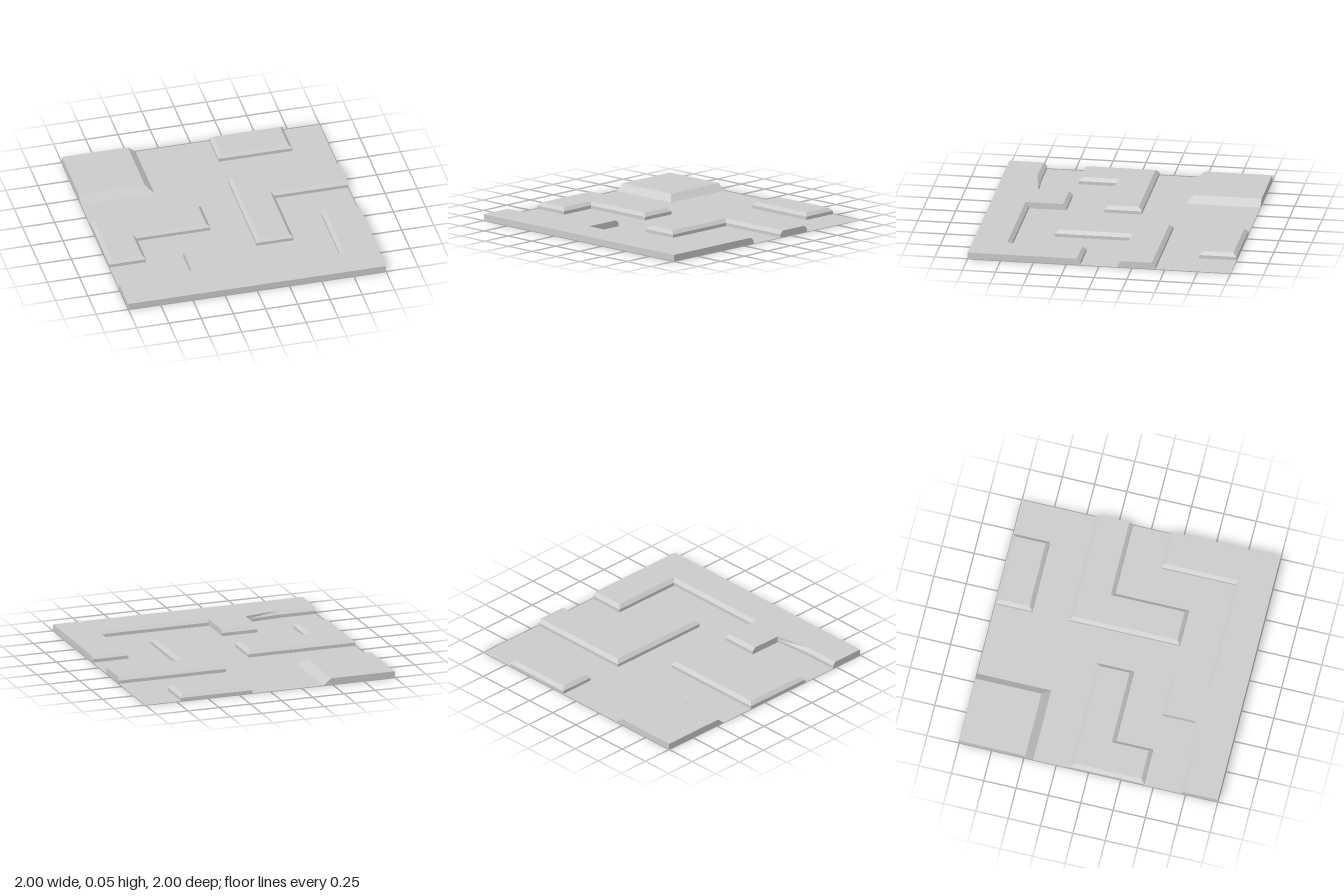
import * as THREE from 'three';
import { mergeGeometries } from 'three/addons/utils/BufferGeometryUtils.js';

const HEIGHT = 0.05;
const material = new THREE.MeshStandardMaterial({
  color: 0xcccccc, flatShading: true, side: THREE.DoubleSide,
});

// Layout grid: the tile is 14 cells wide, points are given as cells [x, z] from the centre
const toPlan = ([x, z]) => new THREE.Vector2(x / 7, -z / 7);

// Horizontal sheet facing up
function sheet(points, y) {
  return new THREE.ShapeGeometry(new THREE.Shape(points))
    .rotateX(-Math.PI / 2).translate(0, y, 0).toNonIndexed();
}

// Band of quads between two closed outlines
function band(low, yLow, high, yHigh) {
  const pos = [];
  low.forEach((a, i) => {
    const j = (i + 1) % low.length;
    const b = low[j], c = high[j], d = high[i];
    const A = [a.x, yLow, -a.y], B = [b.x, yLow, -b.y];
    const C = [c.x, yHigh, -c.y], D = [d.x, yHigh, -d.y];
    pos.push(...A, ...B, ...C, ...A, ...C, ...D);
  });
  const g = new THREE.BufferGeometry();
  g.setAttribute('position', new THREE.Float32BufferAttribute(pos, 3));
  g.computeVertexNormals();
  return g;
}

// Hollow raised block; corners run counterclockwise from above as [x, z, bevel],
// where bevel = 1 slopes the edge that starts at that corner
function plateau(name, corners, bevel = 0.027, shoulder = 0.025) {
  const base = corners.map(toPlan);
  const n = base.length;
  const shifts = base.map((p, i) => {
    const d = base[(i + 1) % n].clone().sub(p).normalize();
    return new THREE.Vector2(-d.y, d.x).multiplyScalar(bevel * corners[i][2]);
  });
  const top = base.map((p, i) => p.clone().add(shifts[i]).add(shifts[(i + n - 1) % n]));
  const parts = [band(base, shoulder, top, HEIGHT), sheet(top, HEIGHT)];
  if (shoulder > 0) parts.push(band(base, 0, base, shoulder));
  parts.forEach((g) => g.deleteAttribute('uv'));
  const mesh = new THREE.Mesh(mergeGeometries(parts), material);
  mesh.name = name;
  return mesh;
}

export function createModel() {
  const model = new THREE.Group();
  model.name = 'mazeTile';

  // Floor, cut out beneath every raised block
  const floor = new THREE.Mesh(sheet([
    [-7, -3], [-3, -3], [-3, -7], [1, -7], [1, -5], [5, -5], [5, -7], [7, -7],
    [7, -3], [1, -3], [1, 3], [3, 3], [3, -1], [7, -1], [7, 1], [5, 1], [5, 5],
    [-1, 5], [-1, 3], [-3, 3], [-3, 4.83], [-5, 5], [-7, 5], [-7, 3], [-5, 3],
    [-5, 1], [-1, 1], [-1, -1], [-7, -1],
  ].map(toPlan), 0), material);
  floor.name = 'floor';
  model.add(floor);

  // Corner block with a full-height slope
  model.add(plateau('cornerBlock',
    [[-7, -3, 1], [-3, -3, 1], [-3, -7, 0], [-7, -7, 0]], 0.06, 0));

  // Small block on the back edge
  model.add(plateau('backBlock',
    [[1, -5, 1], [5, -5, 1], [5, -7, 1], [1, -7, 1]]));

  // L-shaped block reaching the +x edge
  model.add(plateau('leftAngleBlock',
    [[1, 3, 1], [3, 3, 1], [3, -1, 1], [7, -1, 0], [7, -3, 1], [1, -3, 1]]));

  // L-shaped block on the -x edge
  model.add(plateau('rightAngleBlock',
    [[-7, 3, 1], [-5, 3, 1], [-5, 1, 1], [-1, 1, 1], [-1, -1, 1], [-7, -1, 1]]));

  // Front strip with its corner arm and straight-sided spur
  model.add(plateau('frontStrip', [
    [-7, 7, 0], [7, 7, 0], [7, 1, 1], [5, 1, 1], [5, 5, 1], [-1, 5, 0],
    [-1, 3, 1], [-3, 3, 0], [-3, 4.83, 0], [-5, 5, 1], [-7, 5, 0],
  ]));

  return model;
}
